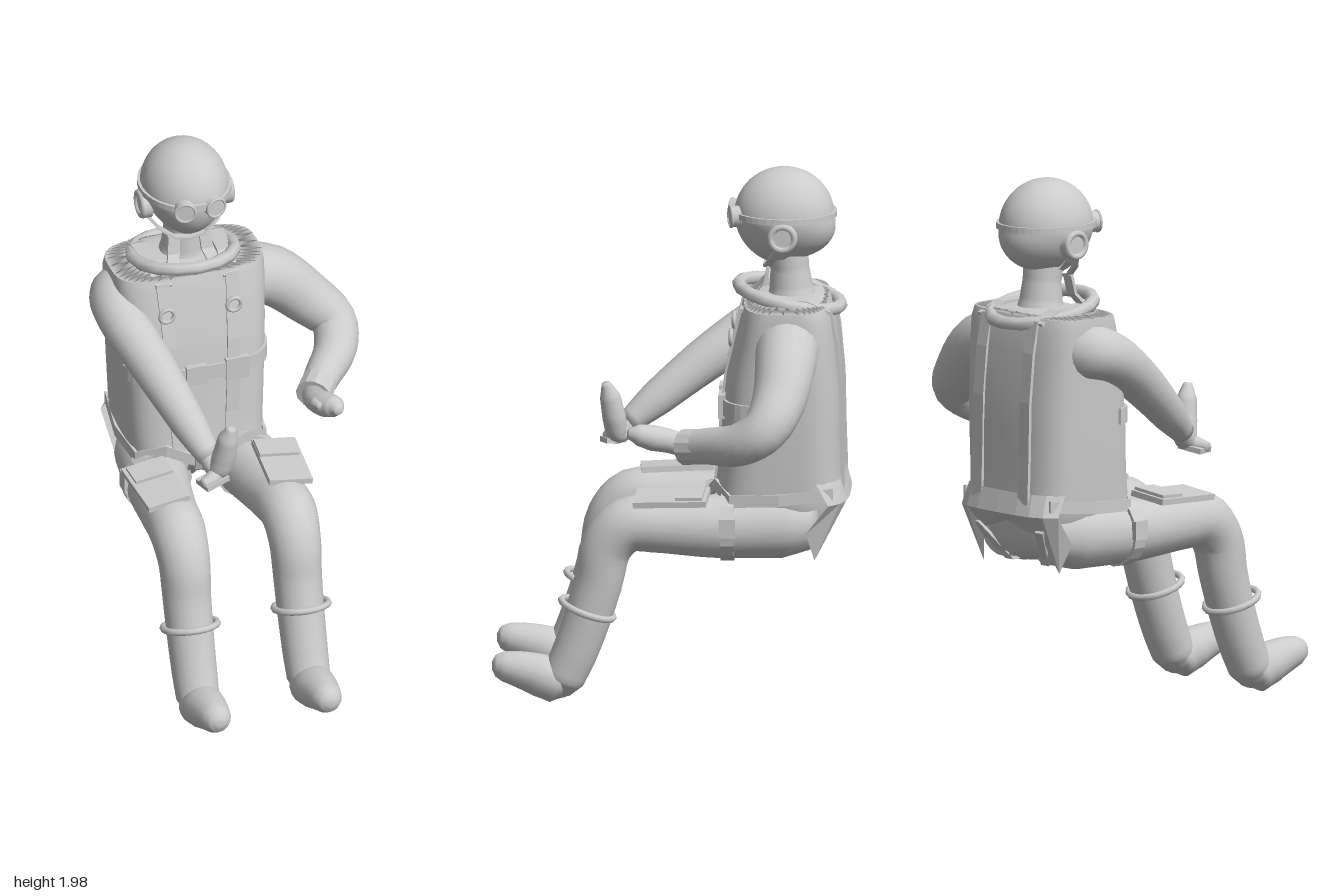
import * as THREE from 'three';

const grey = new THREE.MeshStandardMaterial({ color: 0xcccccc });
const open = new THREE.MeshStandardMaterial({ color: 0xcccccc, side: THREE.DoubleSide });
const flat = new THREE.MeshStandardMaterial({ color: 0xcccccc, flatShading: true, side: THREE.DoubleSide });
const V = (x, y, z) => new THREE.Vector3(x, y, z);
const SQUARE = 3.6; // squareness of the vest's cross-section

export function createModel() {
  const root = new THREE.Group();
  const body = new THREE.Group();
  body.name = 'seatedPilot';
  body.position.x = -0.14;
  root.add(body);

  function add(name, geo, mat = grey, pos = [0, 0, 0], rot = [0, 0, 0]) {
    const m = new THREE.Mesh(geo, mat);
    m.name = name;
    m.position.set(...pos);
    m.rotation.set(...rot);
    body.add(m);
  }

  // Skin a list of equal rings; ends are closed with a centre point
  function loft(rings, cap = true, closed = true) {
    const n = rings[0].length, pos = [], idx = [];
    rings.forEach(r => r.forEach(p => pos.push(p.x, p.y, p.z)));
    for (let i = 0; i < rings.length - 1; i++) for (let j = 0; j < (closed ? n : n - 1); j++) {
      const a = i * n + j, b = i * n + (j + 1) % n;
      idx.push(a, b, a + n, b, b + n, a + n);
    }
    if (cap) [0, rings.length - 1].forEach(i => {
      const c = V(0, 0, 0);
      rings[i].forEach(p => c.addScaledVector(p, 1 / n));
      const k = pos.length / 3;
      pos.push(c.x, c.y, c.z);
      for (let j = 0; j < n; j++) {
        const a = i * n + j, b = i * n + (j + 1) % n;
        if (i) idx.push(a, b, k); else idx.push(b, a, k);
      }
    });
    const g = new THREE.BufferGeometry();
    g.setAttribute('position', new THREE.Float32BufferAttribute(pos, 3));
    g.setIndex(idx);
    g.computeVertexNormals();
    return g;
  }

  // Round limb through points [x, y, z, radius]
  function limb(pts, steps = 24, sides = 20) {
    const curve = new THREE.CatmullRomCurve3(pts.map(p => V(p[0], p[1], p[2])));
    const last = pts.length - 1, rings = [];
    let normal = null;
    for (let i = 0; i <= steps; i++) {
      const u = i / steps, c = curve.getPoint(u), t = curve.getTangent(u);
      if (!normal) normal = Math.abs(t.x) < 0.8 ? V(1, 0, 0) : V(0, 0, 1);
      normal.addScaledVector(t, -normal.dot(t)).normalize();
      const bin = t.clone().cross(normal);
      const k = Math.min(last - 1, Math.floor(u * last));
      const r = THREE.MathUtils.lerp(pts[k][3], pts[k + 1][3], u * last - k);
      rings.push(Array.from({ length: sides }, (_, j) => {
        const a = j / sides * Math.PI * 2;
        return c.clone().addScaledVector(normal, r * Math.cos(a)).addScaledVector(bin, r * Math.sin(a));
      }));
    }
    return loft(rings);
  }

  // Flat webbing along points, its width running along a fixed direction
  function ribbon(pts, wide, thick = 0.012) {
    return loft(pts.map((p, i) => {
      const t = pts[Math.min(i + 1, pts.length - 1)].clone().sub(pts[Math.max(i - 1, 0)]);
      const n = t.cross(wide).normalize().multiplyScalar(thick / 2);
      return [[1, 1], [-1, 1], [-1, -1], [1, -1]].map(([a, b]) =>
        p.clone().addScaledVector(wide, a / 2).addScaledVector(n, b));
    }));
  }

  // Vest cross-sections: height, z centre, half width, half depth
  const vest = [[0.8, -0.395, 0.262, 0.238], [0.92, -0.4, 0.27, 0.225], [1.1, -0.405, 0.278, 0.22],
    [1.25, -0.41, 0.284, 0.208], [1.38, -0.418, 0.29, 0.185], [1.47, -0.422, 0.292, 0.17], [1.51, -0.42, 0.288, 0.155]];
  function section(y) {
    let k = 0;
    while (k < vest.length - 2 && y > vest[k + 1][0]) k++;
    const u = (y - vest[k][0]) / (vest[k + 1][0] - vest[k][0]);
    return vest[k].map((v, i) => THREE.MathUtils.lerp(v, vest[k + 1][i], u));
  }
  const ring = ([y, zc, rx, rz], e = 2 / SQUARE, grow = 0, n = 40) => Array.from({ length: n }, (_, j) => {
    const a = j / n * Math.PI * 2, c = Math.cos(a), s = Math.sin(a);
    return V((rx + grow) * Math.sign(c) * Math.abs(c) ** e, y, zc - (rz + grow) * Math.sign(s) * Math.abs(s) ** e);
  });
  const onVest = (x, y, side, off = 0.006) => {
    const [, zc, rx, rz] = section(y);
    return V(x, y, zc + side * (off + rz * (1 - Math.min(1, Math.abs(x / rx)) ** SQUARE) ** (1 / SQUARE)));
  };

  // Torso, shoulder cap and pelvis
  add('vest', loft(vest.map(s => ring(s)), false), open);
  add('shoulderCap', loft([ring(vest[6]), ring([1.518, -0.425, 0.2, 0.13], 0.7), ring([1.53, -0.43, 0.09, 0.09], 1)]));
  add('pelvis', loft([[0.59, -0.44, 0.07, 0.08], [0.62, -0.44, 0.14, 0.13], [0.68, -0.42, 0.21, 0.175],
    [0.78, -0.4, 0.245, 0.21], [0.86, -0.4, 0.25, 0.21]].map(s => ring(s, 0.9))));

  // Neck and tilted collar
  add('neck', limb([[0, 1.48, -0.44, 0.1], [0, 1.55, -0.435, 0.08], [0, 1.62, -0.43, 0.072], [0, 1.7, -0.42, 0.075]]));
  add('collar', new THREE.TorusGeometry(0.192, 0.025, 8, 16), grey, [0, 1.52, -0.43], [Math.PI / 2 + 0.2 - 0.4, 0, 0]);
  for (const s of [-1, 1]) {
    add('collarFlap', ribbon([V(s * 0.06, 1.64, -0.355), V(s * 0.065, 1.57, -0.34), V(s * 0.09, 1.51, -0.29)], V(0.045, 0, 0)), flat);
  }

  // Helmeted head, narrowing to the chin with a fuller nape
  const head = new THREE.SphereGeometry(1, 36, 28), hp = head.attributes.position;
  for (let i = 0; i < hp.count; i++) {
    const x = hp.getX(i), y = hp.getY(i), z = hp.getZ(i), d = Math.max(0, -y);
    const nape = z < 0 ? 1 + 0.22 * d : 1 - 0.05 * d;
    const low = z < 0 ? 0.165 : 0.185;
    hp.setXYZ(i, x * 0.163 * (1 - (z < 0 ? 0.12 : 0.25) * d), 1.82 + y * (y > 0 ? 0.18 : low), -0.41 + z * 0.185 * nape);
  }
  head.computeVertexNormals();
  add('head', head);
  const band = ring([1.83, -0.41, 0.166, 0.188], 1);
  add('goggleStrap', ribbon([...band, band[0], band[1]], V(0, 0.022, 0), 0.012), flat);
  add('goggleBridge', new THREE.BoxGeometry(0.07, 0.025, 0.025), grey, [0, 1.835, -0.228]);
  for (const s of [-1, 1]) {
    add('goggleLens', new THREE.CylinderGeometry(0.038, 0.042, 0.045, 18), grey, [s * 0.055, 1.825, -0.235], [Math.PI / 2, 0, -s * 0.25]);
    add('goggleRim', new THREE.TorusGeometry(0.037, 0.006, 8, 20), grey, [s * 0.06, 1.825, -0.215], [0, s * 0.25, 0]);
    add('earCup', new THREE.CylinderGeometry(0.055, 0.055, 0.035, 20), grey, [s * 0.155, 1.77, -0.41], [0, 0, Math.PI / 2]);
    add('earCupRim', new THREE.TorusGeometry(0.044, 0.012, 8, 20), grey, [s * 0.17, 1.77, -0.41], [0, Math.PI / 2, 0]);
    add('chinStrap', ribbon([V(s * 0.155, 1.73, -0.4), V(s * 0.115, 1.68, -0.37), V(s * 0.06, 1.64, -0.35), V(0, 1.63, -0.345)], V(0, 0, 0.028), 0.01), flat);
  }

  // Reaching right arm and bent left arm, with cuffs, hands and thumbs
  add('rightArm', limb([[-0.19, 1.38, -0.44, 0.1], [-0.255, 1.385, -0.42, 0.105], [-0.275, 1.355, -0.33, 0.092],
    [-0.21, 1.23, -0.13, 0.084], [-0.135, 1.08, 0.07, 0.066], [-0.095, 1.0, 0.17, 0.045]]));
  add('rightHand', limb([[-0.1, 1.0, 0.16, 0.036], [-0.075, 0.965, 0.205, 0.04], [-0.055, 1.03, 0.22, 0.044],
    [-0.045, 1.11, 0.235, 0.038], [-0.035, 1.165, 0.25, 0.016]]));
  add('rightThumb', limb([[-0.07, 0.96, 0.21, 0.032], [-0.11, 0.945, 0.235, 0.028], [-0.15, 0.94, 0.25, 0.018]], 10, 12));
  add('rightCuffFlap', new THREE.BoxGeometry(0.1, 0.02, 0.075), flat, [-0.1, 0.935, 0.225], [0, 0.3, 0.15]);
  add('leftArm', limb([[0.2, 1.38, -0.43, 0.12], [0.34, 1.34, -0.43, 0.113], [0.47, 1.23, -0.41, 0.1],
    [0.56, 1.14, -0.36, 0.086], [0.54, 1.08, -0.27, 0.08], [0.45, 1.05, -0.15, 0.068], [0.39, 1.03, -0.07, 0.06]]));
  add('leftCuff', limb([[0.44, 1.045, -0.14, 0.066], [0.385, 1.03, -0.06, 0.068]], 1, 12), flat);
  add('leftHand', limb([[0.385, 1.03, -0.07, 0.04], [0.375, 1.05, 0, 0.045], [0.39, 1.065, 0.06, 0.048],
    [0.41, 1.08, 0.11, 0.04], [0.415, 1.085, 0.15, 0.016]]));
  add('leftThumb', limb([[0.37, 1.06, 0.02, 0.026], [0.355, 1.075, 0.06, 0.024], [0.36, 1.085, 0.1, 0.012]], 10, 12));

  for (const s of [-1, 1]) {
    const mirror = pts => pts.map(([x, ...rest]) => [s * x, ...rest]);
    // Bent leg and upturned foot
    add('leg', limb(mirror([[0.11, 0.685, -0.52, 0.1], [0.14, 0.685, -0.4, 0.13], [0.18, 0.68, -0.17, 0.118], [0.205, 0.69, 0.03, 0.106],
      [0.215, 0.69, 0.16, 0.104], [0.215, 0.61, 0.235, 0.096], [0.215, 0.48, 0.265, 0.09], [0.215, 0.34, 0.305, 0.087],
      [0.215, 0.2, 0.355, 0.084], [0.215, 0.11, 0.395, 0.08], [0.215, 0.06, 0.415, 0.05]]), 40));
    add('foot', limb(mirror([[0.215, 0.06, 0.37, 0.03], [0.215, 0.085, 0.41, 0.078], [0.215, 0.115, 0.48, 0.08],
      [0.215, 0.138, 0.56, 0.067], [0.215, 0.148, 0.615, 0.056], [0.215, 0.15, 0.645, 0.04], [0.215, 0.15, 0.658, 0.016]])));
    add('shinRing', new THREE.TorusGeometry(0.101, 0.013, 8, 20), grey, [s * 0.215, 0.37, 0.307], [Math.PI / 2 - 0.34, 0, 0]);

    // Thigh pad and thigh belt
    add('thighPad', new THREE.BoxGeometry(0.165, 0.022, 0.27), flat, [s * 0.245, 0.802, -0.005], [0.04, s * -0.07, s * -0.1]);
    add('padPocket', new THREE.BoxGeometry(0.15, 0.016, 0.1), flat, [s * 0.245, 0.82, -0.075], [0.04, s * -0.07, s * -0.1]);
    const loop = Array.from({ length: 18 }, (_, i) => {
      const a = i / 16 * Math.PI * 2;
      return V(s * 0.175 + 0.123 * Math.cos(a), 0.682 + 0.124 * Math.sin(a), -0.21);
    });
    add('thighBelt', ribbon(loop, V(0, 0, 0.05), 0.014), flat);
    add('thighBuckle', new THREE.BoxGeometry(0.02, 0.07, 0.06), flat, [s * 0.298, 0.7, -0.21]);
    add('hipStrap', ribbon([V(s * 0.04, 0.78, -0.14), V(s * 0.15, 0.83, -0.165), V(s * 0.25, 0.79, -0.22), V(s * 0.268, 0.8, -0.4), V(s * 0.24, 0.82, -0.6)], V(0, 0.045, 0)), flat);
    add('groinStrap', ribbon([V(s * 0.03, 0.77, -0.15), V(s * 0.05, 0.68, -0.22), V(s * 0.05, 0.6, -0.36), V(s * 0.1, 0.58, -0.5), V(s * 0.18, 0.72, -0.6)], V(s * 0.045, 0, 0)), flat);

    // Shoulder webbing, front buckle and back webbing
    add('frontStrap', ribbon([1.5, 1.38, 1.25, 1.1, 0.95, 0.82].map(y => onVest(s * (0.1 + (y - 0.8) * 0.05), y, 1)), V(0.05, 0, 0), 0.008), flat);
    add('strapRing', new THREE.TorusGeometry(0.027, 0.008, 8, 18), grey, onVest(s * 0.13, 1.385, 1, 0.018).toArray());
    add('backStrap', ribbon([1.5, 1.38, 1.2, 1, 0.82].map(y => onVest(s * 0.13, y, -1)), V(0.055, 0, 0)), flat);
    add('shoulderStrap', ribbon([onVest(s * 0.15, 1.49, -1), V(s * 0.15, 1.53, -0.5), V(s * 0.14, 1.535, -0.36), onVest(s * 0.13, 1.49, 1)], V(0.06, 0, 0)), flat);
  }

  // Chest belt with pouches, waist buckle
  add('chestBelt', ribbon(ring(section(1.13), 2 / SQUARE, 0.004).slice(22, 40), V(0, 0.06, 0), 0.01), flat);
  add('chestBuckle', new THREE.BoxGeometry(0.08, 0.08, 0.025), flat, onVest(-0.03, 1.13, 1).toArray());
  add('beltPouch', new THREE.BoxGeometry(0.09, 0.09, 0.025), flat, onVest(0.13, 1.13, 1).toArray());
  add('waistBuckle', new THREE.BoxGeometry(0.1, 0.05, 0.03), flat, [0, 0.775, -0.14], [0.3, 0, 0]);

  // Flared hem at the back, dropping to a point at each corner
  const hem = [-1, -0.85, -0.65, -0.4, 0, 0.4, 0.65, 0.85, 1].map(t => {
    const a = Math.abs(t), x = 0.255 * t, point = a === 0.85;
    return [V(x * 0.98, point ? 0.56 : 0.74 - 0.07 * a, point ? -0.53 : -0.6 + 0.1 * a ** 3),
      V(x * 1.05, 0.78, onVest(x * 0.95, 0.82, -1, 0.025).z), V(x, 0.86, onVest(x, 0.86, -1).z)];
  });
  add('backHem', loft([0, 1, 2].map(k => hem.map(h => h[k])), false, false), flat);

  return root;
}
